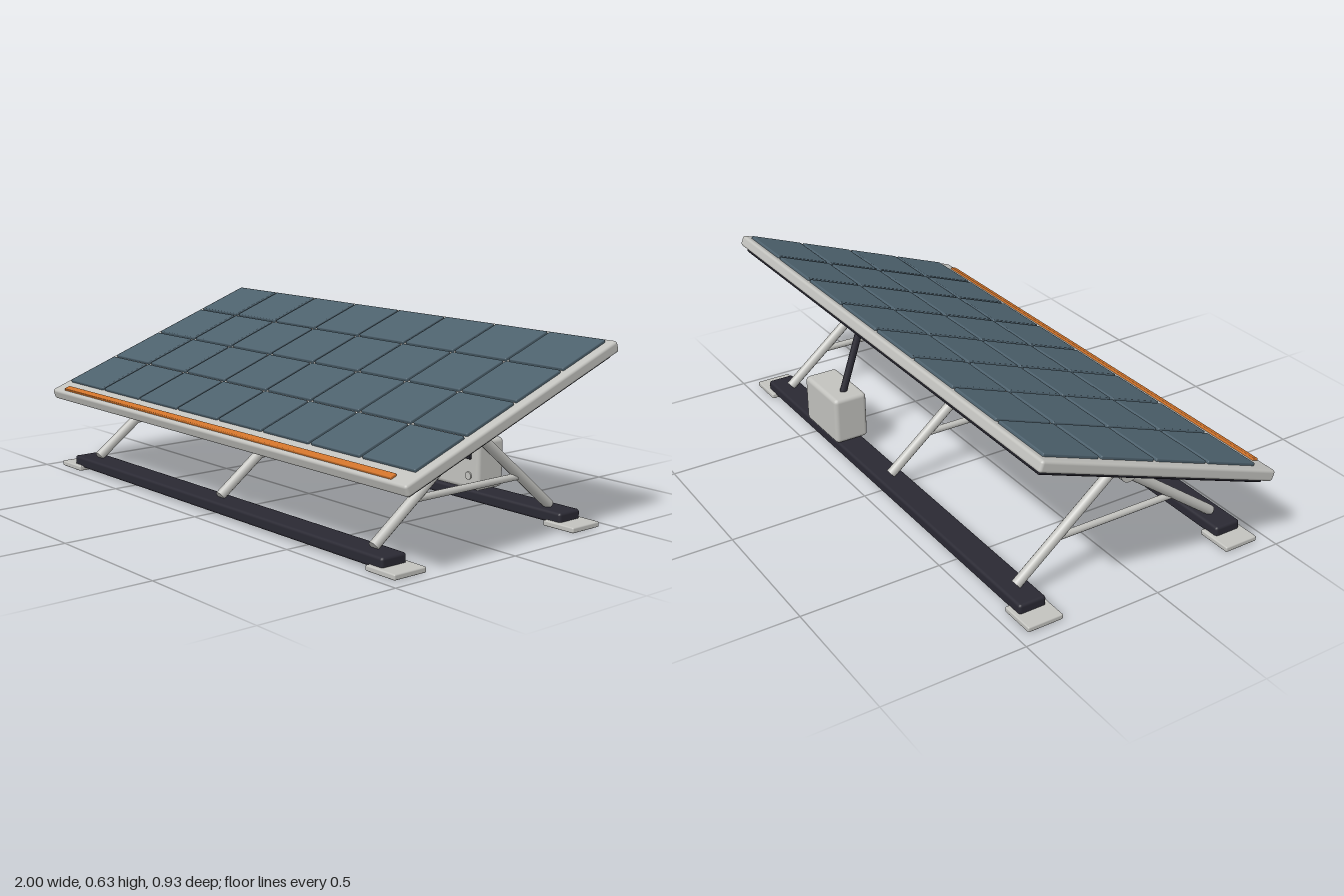
import * as THREE from 'three';
import { RoundedBoxGeometry } from 'three/addons/geometries/RoundedBoxGeometry.js';

const mat = (name, color) => new THREE.MeshStandardMaterial({ name, color });

export function createModel() {
  const metal = mat('light metal', 0xc2c2be);
  const dark = mat('dark rubber', 0x2a2933);
  const back = mat('panel backing', 0x1d1c24);
  const cellBlue = mat('solar cell', 0x4d616d);
  const orange = mat('orange accent', 0xd0732a);

  const model = new THREE.Group();
  model.name = 'solarPanel';

  const add = (parent, name, geometry, material, x = 0, y = 0, z = 0) => {
    const mesh = new THREE.Mesh(geometry, material);
    mesh.name = name;
    mesh.position.set(x, y, z);
    parent.add(mesh);
    return mesh;
  };
  const box = (parent, name, size, r, material, pos) =>
    add(parent, name, new RoundedBoxGeometry(...size, 2, r), material, ...pos);
  // Round bar between two points
  const bar = (parent, name, a, b, r, material, sides = 12) => {
    const from = new THREE.Vector3(...a), to = new THREE.Vector3(...b);
    const dir = to.clone().sub(from);
    const mesh = add(parent, name, new THREE.CylinderGeometry(r, r, dir.length(), sides), material);
    mesh.position.copy(from).add(to).multiplyScalar(0.5);
    mesh.quaternion.setFromUnitVectors(new THREE.Vector3(0, 1, 0), dir.normalize());
    return mesh;
  };

  // Tilted panel: frame, backing, cells and front accent
  const panel = new THREE.Group();
  panel.name = 'panel';
  panel.position.set(0, 0.442, 0);
  panel.rotation.x = THREE.MathUtils.degToRad(20);
  model.add(panel);
  box(panel, 'frame', [2, 0.04, 0.978], 0.01, metal, [0, 0, 0]);
  box(panel, 'backing', [1.95, 0.02, 0.935], 0.004, back, [0, -0.025, 0]);
  box(panel, 'accentStrip', [1.85, 0.012, 0.025], 0.003, orange, [0, 0.022, 0.462]);
  const cell = new RoundedBoxGeometry(0.232, 0.014, 0.212, 2, 0.004);
  for (let row = 0; row < 4; row++) {
    for (let col = 0; col < 8; col++) {
      add(panel, 'cell', cell, cellBlue, (col - 3.5) * 0.2435, 0.023, (row - 1.5) * 0.2235 - 0.026);
    }
  }

  // Pivot tube with end caps and clamps
  const py = 0.378, pz = -0.022;
  bar(model, 'pivotTube', [-0.84, py, pz], [0.84, py, pz], 0.029, metal, 20);
  for (const s of [-1, 1]) {
    bar(model, 'pivotCap', [s * 0.8, py, pz], [s * 0.86, py, pz], 0.035, metal, 24);
    box(model, 'pivotClamp', [0.08, 0.06, 0.108], 0.012, dark, [s * 0.74, 0.386, -0.023]);
  }

  // Three A-shaped supports
  for (const x of [-0.785, 0, 0.785]) {
    const support = new THREE.Group();
    support.name = 'support';
    model.add(support);
    bar(support, 'frontLeg', [x, 0.055, 0.393], [x, 0.36, pz], 0.018, metal);
    bar(support, 'backLeg', [x, 0.055, -0.393], [x, 0.36, pz], 0.018, metal);
    bar(support, 'crossBrace', [x, 0.175, 0.215], [x, 0.175, -0.235], 0.012, metal);
  }

  // Ground rails and foot plates
  for (const z of [-0.393, 0.393]) {
    box(model, 'rail', [1.76, 0.04, 0.1], 0.01, dark, [0, 0.03, z]);
    for (const s of [-1, 1]) {
      box(model, 'footPlate', [0.13, 0.019, 0.13], 0.005, metal, [s * 0.885, 0.0095, z]);
    }
  }

  // Control box with screen, knob and lift strut
  const control = new THREE.Group();
  control.name = 'controlBox';
  model.add(control);
  box(control, 'housing', [0.24, 0.178, 0.128], 0.016, metal, [0.4, 0.144, -0.392]);
  box(control, 'screen', [0.175, 0.038, 0.012], 0.003, dark, [0.4, 0.184, -0.325]);
  bar(control, 'knob', [0.475, 0.105, -0.335], [0.475, 0.105, -0.323], 0.014, metal, 16);
  bar(control, 'liftStrut', [0.34, 0.225, -0.393], [0.34, 0.525, -0.292], 0.013, dark);

  return model;
}
